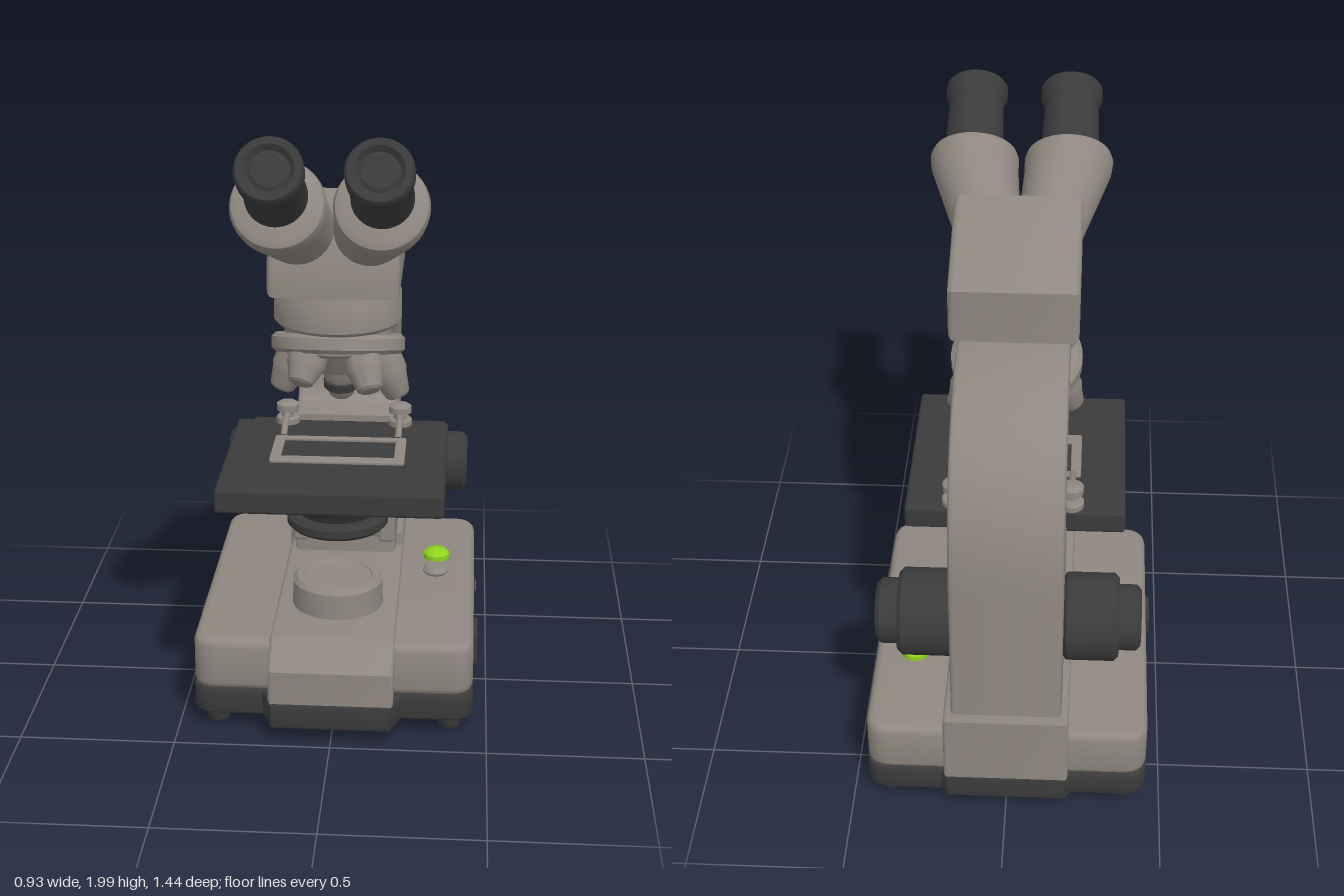
import * as THREE from 'three';
import { toCreasedNormals } from 'three/addons/utils/BufferGeometryUtils.js';
import { RoundedBoxGeometry } from 'three/addons/geometries/RoundedBoxGeometry.js';

const mat = (name, color) => new THREE.MeshStandardMaterial({ name, color });

export function createModel() {
  const model = new THREE.Group();
  model.name = 'microscope';
  const grey = mat('warmGrey', 0x8f8781);
  const dark = mat('darkRubber', 0x3b3b3b);
  const green = mat('greenLamp', 0x8ed21e);
  const V = (x, y, z) => new THREE.Vector3(x, y, z);

  const add = (name, geo, material, parent = model) => {
    const mesh = new THREE.Mesh(geo, material);
    mesh.name = name;
    parent.add(mesh);
    return mesh;
  };
  const box = (name, w, h, d, x, y, z, material, r = 0.012) => {
    const geo = new RoundedBoxGeometry(w, h, d, 2, Math.min(r, w / 2.1, h / 2.1, d / 2.1));
    const m = add(name, geo, material);
    m.position.set(x, y, z);
    return m;
  };
  // turned part: profile of [radius, height] placed at pos, with its axis along dir
  const turned = (name, profile, pos, dir, material, parent = model) => {
    const lathe = new THREE.LatheGeometry(profile.map(p => new THREE.Vector2(...p)), 40);
    const m = add(name, toCreasedNormals(lathe, 0.6), material, parent);
    m.position.copy(pos);
    m.quaternion.setFromUnitVectors(V(0, 1, 0), dir.clone().normalize());
    return m;
  };
  const up = V(0, 1, 0);
  const disc = (r, h, b = 0.012) => [[0, 0], [r - b, 0], [r, b], [r, h - b], [r - b, h], [0, h]];
  const extrude = (shape, depth, bevel) => new THREE.ExtrudeGeometry(shape, {
    depth: depth - 2 * bevel, bevelEnabled: bevel > 0, bevelSize: bevel, bevelThickness: bevel,
    bevelOffset: -bevel, bevelSegments: 3, curveSegments: 20,
  });
  // side profile in (z, y), extruded across x
  const sideExtrude = (name, shape, width, bevel, material) => {
    const geo = extrude(shape, width, bevel);
    geo.translate(0, 0, bevel - width / 2).rotateY(-Math.PI / 2);
    return add(name, toCreasedNormals(geo, 0.6), material);
  };
  // plan outline in (x, -z), extruded up from y0 to y1
  const planExtrude = (name, shape, y0, y1, bevel, material) => {
    const geo = extrude(shape, y1 - y0, bevel);
    geo.translate(0, 0, bevel).rotateX(-Math.PI / 2).translate(0, y0, 0);
    return add(name, toCreasedNormals(geo, 0.6), material);
  };
  const polygon = pts => new THREE.Shape(pts.map(p => new THREE.Vector2(...p)));

  // base outline: rounded plate with a centre tab at front and back
  const outline = (w, front, back, r, tabs) => {
    const s = new THREE.Shape();
    s.moveTo(-w + r, -front);
    if (tabs) {
      s.lineTo(-0.225, -front); s.lineTo(-0.19, -0.48); s.lineTo(0.19, -0.48); s.lineTo(0.225, -front);
    }
    s.lineTo(w - r, -front);
    s.quadraticCurveTo(w, -front, w, -front + r);
    s.lineTo(w, -back - r);
    s.quadraticCurveTo(w, -back, w - r, -back);
    if (tabs) {
      s.lineTo(0.21, -back); s.lineTo(0.19, 0.72); s.lineTo(-0.19, 0.72); s.lineTo(-0.21, -back);
    }
    s.lineTo(-w + r, -back);
    s.quadraticCurveTo(-w, -back, -w, -back - r);
    s.lineTo(-w, -front + r);
    s.quadraticCurveTo(-w, -front, -w + r, -front);
    return s;
  };
  planExtrude('baseSkirt', outline(0.455, 0.39, -0.69, 0.08, true), 0.05, 0.14, 0.008, dark);
  planExtrude('baseBody', outline(0.453, 0.388, -0.688, 0.08, false), 0.135, 0.31, 0.025, grey);
  sideExtrude('baseSpine', polygon([[0.477, 0.135], [0.477, 0.25], [0.41, 0.315], [0.39, 0.335],
    [-0.36, 0.335], [-0.36, 0.38], [-0.718, 0.38], [-0.718, 0.135]]), 0.4, 0.012, grey);
  for (const x of [-0.38, 0.38]) for (const z of [0.31, -0.61])
    turned('foot', [[0, 0], [0.035, 0], [0.048, 0.06], [0, 0.06]], V(x, 0, z), up, dark);

  // base fittings
  turned('lampHousing', [[0, 0], [0.15, 0], [0.148, 0.085], [0.135, 0.1], [0.115, 0.1], [0.11, 0.094], [0, 0.094]],
    V(0, 0.333, 0.11), up, grey);
  turned('indicatorLamp', [[0, 0], [0.045, 0], [0.045, 0.022], [0.03, 0.036], [0, 0.042]], V(0.32, 0.305, -0.32), up, green);
  turned('button', disc(0.045, 0.03), V(0.32, 0.305, -0.19), up, grey);
  box('powerSocket', 0.02, 0.1, 0.15, 0.456, 0.2, 0.11, dark, 0.004);
  box('switchSurround', 0.014, 0.03, 0.1, 0.452, 0.185, -0.355, dark, 0.004);
  box('switchLever', 0.018, 0.012, 0.08, 0.453, 0.187, -0.355, grey, 0.004);
  box('sideVent', 0.02, 0.065, 0.12, -0.456, 0.225, 0, dark, 0.004);

  // curved arm
  const arm = new THREE.Shape();
  arm.moveTo(-0.28, 0.34);
  arm.lineTo(-0.28, 0.85);
  arm.lineTo(-0.385, 0.858);
  arm.quadraticCurveTo(-0.44, 0.87, -0.443, 0.95);
  arm.bezierCurveTo(-0.445, 1.12, -0.34, 1.31, -0.1, 1.32);
  arm.lineTo(0.12, 1.32);
  arm.lineTo(0.12, 1.438);
  arm.lineTo(-0.12, 1.438);
  arm.bezierCurveTo(-0.5, 1.42, -0.665, 1.22, -0.67, 0.85);
  arm.lineTo(-0.682, 0.34);
  sideExtrude('arm', arm, 0.352, 0.015, grey);

  // focus rails and knobs
  for (const s of [-1, 1]) {
    box('focusRail', 0.055, 0.37, 0.11, s * 0.148, 0.605, -0.235, grey);
    turned('coarseKnob', [[0, 0], [0.12, 0], [0.14, 0.015], [0.14, 0.165], [0.125, 0.18], [0, 0.18]],
      V(s * 0.17, 0.62, -0.465), V(s, 0, 0), dark);
    turned('fineKnob', [[0, 0], [0.105, 0], [0.105, 0.06], [0.09, 0.075], [0, 0.075]],
      V(s * 0.345, 0.62, -0.465), V(s, 0, 0), dark);
  }
  box('slidePlate', 0.25, 0.37, 0.06, 0, 0.605, -0.26, grey);
  box('stageBracket', 0.24, 0.06, 0.2, 0, 0.75, -0.2, dark);

  // stage and condenser
  box('stage', 0.715, 0.08, 0.66, -0.007, 0.81, 0.1, dark);
  turned('condenser', [[0, 0], [0.125, 0], [0.14, 0.03], [0.148, 0.04], [0.148, 0.12], [0, 0.12]],
    V(0, 0.665, 0.12), up, dark);
  turned('condenserRing', disc(0.165, 0.048), V(0, 0.62, 0.12), up, dark);

  // specimen frame and spring clips
  box('frameFront', 0.43, 0.012, 0.045, 0, 0.855, 0.165, grey, 0.004);
  box('frameBack', 0.43, 0.012, 0.025, 0, 0.855, -0.03, grey, 0.004);
  for (const s of [-1, 1]) {
    box('frameSide', 0.035, 0.012, 0.22, s * 0.2, 0.855, 0.07, grey, 0.004);
    const path = new THREE.CatmullRomCurve3([V(s * 0.19, 0.86, -0.03), V(s * 0.19, 0.885, -0.1), V(s * 0.19, 0.895, -0.19)]);
    add('clipArm', new THREE.TubeGeometry(path, 12, 0.011, 8), grey);
    turned('clipPost', disc(0.04, 0.03, 0.006), V(s * 0.19, 0.848, -0.195), up, grey);
    turned('clipScrew', [[0, 0], [0.02, 0], [0.02, 0.02], [0.038, 0.028], [0.038, 0.05], [0.025, 0.058], [0, 0.058]],
      V(s * 0.19, 0.873, -0.185), up, grey);
  }

  // nosepiece: neck, tilted turret and five objectives
  turned('neck', [[0, 0], [0.19, 0], [0.202, 0.012], [0.202, 0.1], [0.195, 0.112], [0.195, 0.14], [0, 0.14]],
    V(0, 1.31, 0.105), up, grey);
  turned('neckCollar', disc(0.17, 0.1), V(0, 1.23, 0.105), up, grey);
  const turret = new THREE.Group();
  turret.name = 'turret';
  turret.position.set(0, 1.23, 0.09);
  turret.rotation.x = -0.27;
  model.add(turret);
  turned('turretRing', [[0, -0.03], [0.2, -0.03], [0.213, -0.018], [0.213, 0.018], [0.2, 0.03], [0, 0.03]], V(0, 0, 0), up, grey, turret);
  turned('turretHub', [[0, -0.1], [0.07, -0.1], [0.16, -0.02], [0, -0.02]], V(0, 0, 0), up, grey, turret);
  for (let i = 0; i < 5; i++) {
    const a = Math.PI + i * Math.PI * 0.4;
    const out = V(Math.sin(a), 0, Math.cos(a));
    const dir = out.clone().multiplyScalar(0.42).add(V(0, -0.91, 0)).normalize();
    const len = [0.2, 0.17, 0.14, 0.16, 0.19][i];
    const pos = out.clone().multiplyScalar(0.125);
    turned('objective', [[0, 0], [0.062, 0], [0.062, len * 0.55], [0.054, len * 0.65], [0.04, len * 0.95], [0.03, len], [0, len]],
      pos, dir, grey, turret);
    if (i === 0) turned('objectiveBand', disc(0.058, 0.03, 0.004), pos.clone().addScaledVector(dir, len * 0.68), dir, dark, turret);
  }

  // prism head
  sideExtrude('prismHead', polygon([[0.33, 1.443], [-0.15, 1.443], [-0.15, 1.62], [0.21, 1.758], [0.25, 1.72], [0.33, 1.53]]),
    0.405, 0.02, grey);

  // binocular tubes: sheared so they spread apart toward the eyepieces
  const look = V(0, 0.522, 0.853);
  for (const s of [-1, 1]) {
    const tube = turned('binocularTube', [[0, 0], [0.105, 0], [0.14, 0.24], [0.143, 0.28], [0.136, 0.3], [0.118, 0.31], [0, 0.31]],
      V(s * 0.152, 1.61, 0.208), look, grey);
    const p = tube.geometry.attributes.position;
    for (let i = 0; i < p.count; i++) p.setX(i, p.getX(i) - s * 0.055 * Math.max(0, 1 - p.getY(i) / 0.25));
    tube.geometry = toCreasedNormals(tube.geometry, 0.6);
    turned('eyepiece', [[0, 0], [0.094, 0], [0.088, 0.17], [0.1, 0.19], [0.1, 0.23], [0.092, 0.242], [0.074, 0.242],
      [0.06, 0.225], [0.05, 0.232], [0, 0.232]], V(s * 0.155, 1.788, 0.462), look, dark);
  }
  return model;
}
